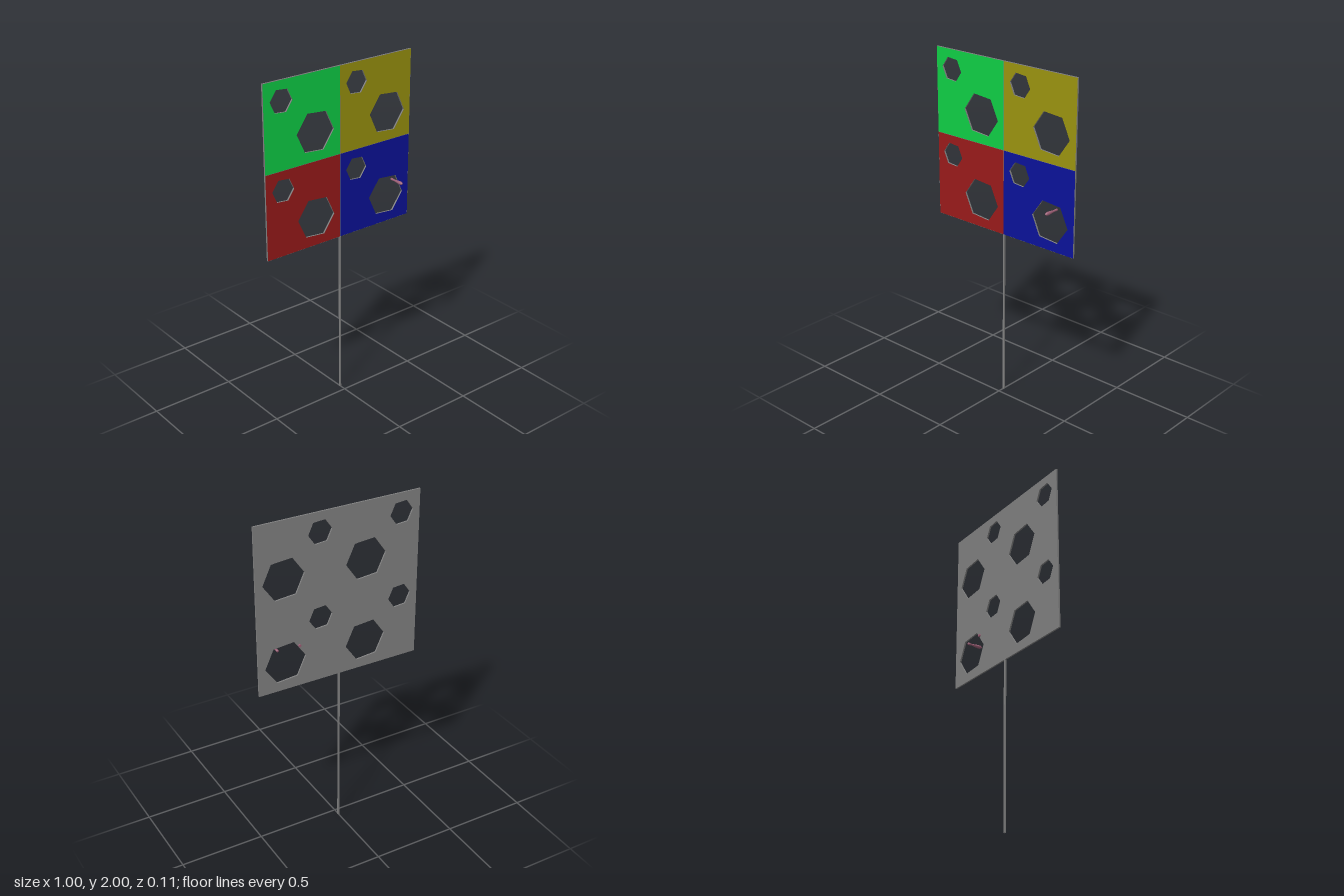
import * as THREE from 'three';

const FRONT = -0.039, BACK = -0.049;

const material = (color, extra = {}) => new THREE.MeshStandardMaterial({ color, ...extra });

function hexHole(cx, cy, r) {
  const pts = [];
  for (let i = 0; i < 6; i++) {
    const a = THREE.MathUtils.degToRad(-5 - 60 * i);
    pts.push(new THREE.Vector2(cx + r * Math.cos(a), cy + r * Math.sin(a)));
  }
  return new THREE.Path(pts);
}

// Square outline with one large and one small hexagonal hole per half-unit tile
function panelShape(x, y, size, tiles) {
  const s = new THREE.Shape([
    new THREE.Vector2(x, y), new THREE.Vector2(x + size, y),
    new THREE.Vector2(x + size, y + size), new THREE.Vector2(x, y + size),
  ]);
  for (const [tx, ty] of tiles) {
    s.holes.push(hexHole(tx + 0.333, ty + 0.167, 0.125), hexHole(tx + 0.114, ty + 0.386, 0.072));
  }
  return s;
}

export function createModel() {
  const group = new THREE.Group();
  const add = (name, geometry, mat) => {
    const mesh = new THREE.Mesh(geometry, mat);
    mesh.name = name;
    group.add(mesh);
    return mesh;
  };
  const grey = material(0x808080);
  const tiles = [
    ['greenTile', -0.5, 1.5, 0x0fcf45], ['yellowTile', 0, 1.5, 0x9a930f],
    ['redTile', -0.5, 1, 0x991a1a], ['blueTile', 0, 1, 0x0b1299],
  ];

  // Board with all the holes cut through
  const board = new THREE.ExtrudeGeometry(
    panelShape(-0.5, 1, 1, tiles.map(t => [t[1], t[2]])),
    { depth: FRONT - BACK - 0.0006, bevelEnabled: false });
  board.translate(0, 0, BACK);
  add('board', board, grey);

  // Coloured faces on the front, with a hairline seam between them
  for (const [name, x, y, color] of tiles) {
    const face = new THREE.ShapeGeometry(panelShape(x + 0.001, y + 0.001, 0.498, [[x, y]]));
    face.translate(0, 0, FRONT);
    add(name, face, material(color));
  }

  // Square post
  add('post', new THREE.BoxGeometry(0.01, 1, 0.01), grey).position.set(0, 0.5, (FRONT + BACK) / 2);

  // Teardrop handle pointing forward
  const pink = material(0x9c5f76);
  const profile = [
    [0, -0.045], [0.007, -0.045], [0.007, -0.036], [0.0055, -0.022], [0.006, -0.01],
    [0.0085, 0.01], [0.0105, 0.028], [0.009, 0.042], [0.005, 0.05], [0, 0.053],
  ].map(([r, z]) => new THREE.Vector2(r, z));
  const handle = new THREE.LatheGeometry(profile, 12);
  handle.rotateX(Math.PI / 2);
  add('handle', handle, pink).position.set(0.378, 1.25, 0);

  // Pin on the back of the board
  const pin = new THREE.CylinderGeometry(0.008, 0.008, 0.012, 12);
  pin.rotateX(Math.PI / 2);
  add('pin', pin, pink).position.set(0.248, 1.25, -0.051);

  return group;
}
